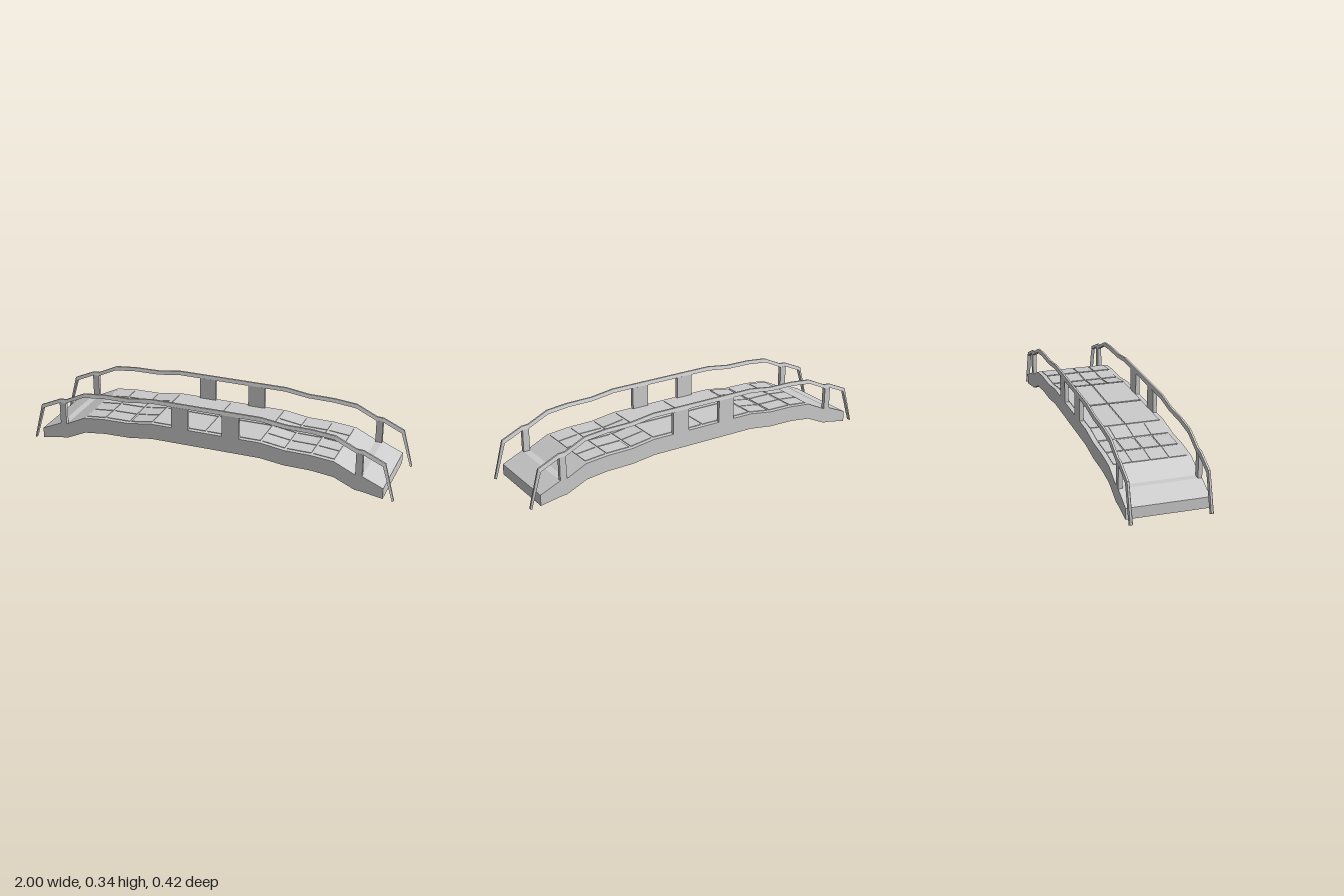
import * as THREE from 'three';

const material = new THREE.MeshStandardMaterial({ color: 0xcccccc, flatShading: true });

// Half profiles from the outer end to the middle, [x, y]
const DECK_TOP = [[0.945, 0.064], [0.835, 0.112], [0.8, 0.113], [0.69, 0.166], [0.57, 0.178], [0.43, 0.18], [0.3, 0.199]];
const DECK_BOTTOM = [[0.945, 0.007], [0.835, 0.027], [0.8, 0.03], [0.69, 0.08], [0.57, 0.094], [0.43, 0.096], [0.3, 0.113]];
const RAIL_TOP = [[1, 0.002], [0.948, 0.2], [0.835, 0.251], [0.8, 0.253], [0.69, 0.305], [0.57, 0.317], [0.43, 0.319], [0.3, 0.337]];
const RAIL_BOTTOM = [[0.992, 0], [0.936, 0.185], [0.835, 0.231], [0.8, 0.233], [0.69, 0.285], [0.57, 0.298], [0.43, 0.3], [0.3, 0.317]];

// Complete a half profile into a symmetric path running from -x to +x
const mirror = half => [...half.map(([x, y]) => [-x, y]), ...half.slice().reverse()];

// Solid beam between an upper and a lower path, with its own width for each
function beam(name, top, bottom, halfTop, halfBottom, z = 0) {
  const rings = top.map(([x, y], i) => {
    const [bx, by] = bottom[i];
    return [[x, y, z + halfTop], [x, y, z - halfTop], [bx, by, z - halfBottom], [bx, by, z + halfBottom]];
  });
  const positions = [];
  const quad = (a, b, c, d) => positions.push(...a, ...b, ...c, ...a, ...c, ...d);
  for (let i = 0; i < rings.length - 1; i++) {
    for (let k = 0; k < 4; k++) {
      const n = (k + 1) % 4;
      quad(rings[i][k], rings[i + 1][k], rings[i + 1][n], rings[i][n]);
    }
  }
  quad(...rings[0]);
  quad(...rings[rings.length - 1].slice().reverse());
  const geometry = new THREE.BufferGeometry();
  geometry.setAttribute('position', new THREE.Float32BufferAttribute(positions, 3));
  geometry.computeVertexNormals();
  const mesh = new THREE.Mesh(geometry, material);
  mesh.name = name;
  return mesh;
}

// Height of a path at x
function heightAt(path, x) {
  for (let i = 1; i < path.length; i++) {
    const [x0, y0] = path[i - 1], [x1, y1] = path[i];
    if (x <= x1) return y0 + (y1 - y0) * (x - x0) / (x1 - x0);
  }
  return path[path.length - 1][1];
}

export function createModel() {
  const group = new THREE.Group();
  const deckTop = mirror(DECK_TOP);

  // Arched deck
  group.add(beam('deck', deckTop, mirror(DECK_BOTTOM), 0.208, 0.208));

  // Handrails with narrowed tops, and the posts carrying them
  for (const side of [1, -1]) {
    const z = side * 0.1975;
    group.add(beam('handrail', mirror(RAIL_TOP), mirror(RAIL_BOTTOM), 0.005, 0.0105, z));
    for (const [x, width, low, high] of [[0.8175, 0.035, 0.112, 0.233], [0.14, 0.092, 0.199, 0.318]]) {
      for (const end of [1, -1]) {
        const post = new THREE.Mesh(new THREE.BoxGeometry(width, high - low, 0.021), material);
        post.position.set(end * x, (low + high) / 2, z);
        post.name = 'post';
        group.add(post);
      }
    }
  }

  // Thin paving slabs: large in the middle, small on the slopes
  const slabs = new THREE.Group();
  slabs.name = 'pavingSlabs';
  const addRow = (x0, x1, count) => {
    const pitch = 0.374 / count, gap = 0.006;
    const ends = [x0 + gap, x1 - gap];
    const top = ends.map(x => [x, heightAt(deckTop, x) + 0.003]);
    const bottom = ends.map(x => [x, heightAt(deckTop, x) - 0.003]);
    for (let i = 0; i < count; i++) {
      const z = -0.187 + (i + 0.5) * pitch, half = pitch / 2 - 0.003;
      slabs.add(beam('slab', top, bottom, half, half, z));
    }
  };
  for (const [a, b] of [[0.43, 0.3], [0.57, 0.43], [0.69, 0.57]]) {
    addRow(-a, -b, 4);
    addRow(b, a, 4);
  }
  addRow(-0.3, 0, 2);
  addRow(0, 0.3, 2);
  group.add(slabs);

  return group;
}
